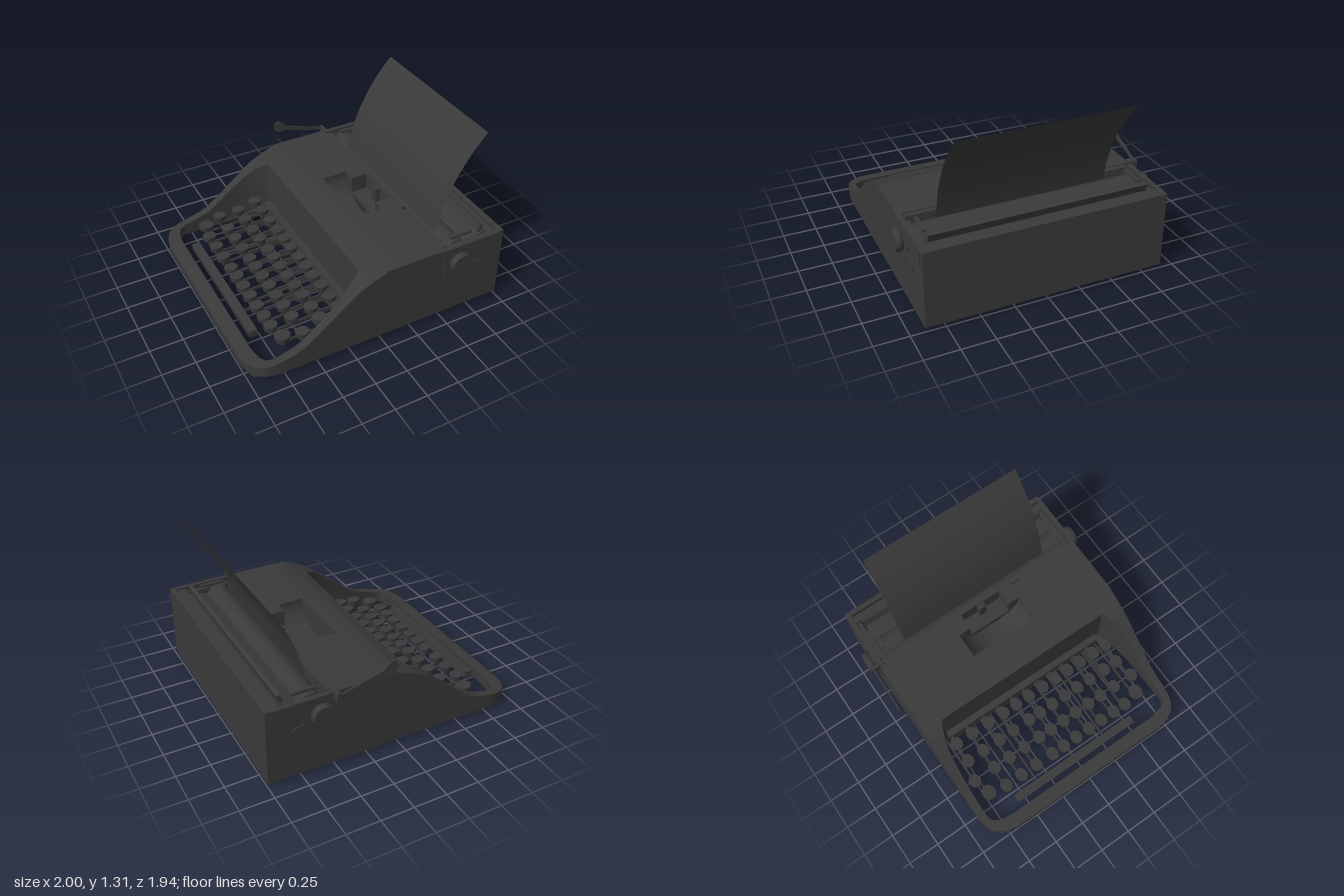
import * as THREE from 'three';
import { toCreasedNormals } from 'three/addons/utils/BufferGeometryUtils.js';

const mat = new THREE.MeshStandardMaterial({ color: 0x3a3a3a });
const thin = new THREE.MeshStandardMaterial({ color: 0x3a3a3a, side: THREE.DoubleSide });

// piecewise-linear lookup in a list of [x, value]
function lerpTable(table, x) {
  for (let i = 1; i < table.length; i++) {
    const [x0, v0] = table[i - 1], [x1, v1] = table[i];
    if (x <= x1) return v0 + (v1 - v0) * (x - x0) / (x1 - x0);
  }
  return table[table.length - 1][1];
}
const TOP = [[-1, 0.095], [-0.97, 0.103], [-0.88, 0.113], [-0.75, 0.14], [-0.66, 0.165], [-0.59, 0.195],
  [-0.5, 0.262], [-0.38, 0.358], [-0.28, 0.44], [-0.2, 0.5], [-0.13, 0.54], [-0.05, 0.573], [0.04, 0.61], [1, 0.612]];
const WIDTH = [[-1, 0.68], [-0.985, 0.76], [-0.95, 0.825], [-0.9, 0.868], [-0.84, 0.888], [-0.78, 0.895], [1, 0.895]];
const BASE = 0.03;

// housing: [x, half-width of the opening]; a repeated x makes a cross wall
const OPENING = [[-1, 0], [-0.985, 0], [-0.95, 0], [-0.9, 0], [-0.9, 0.66], [-0.885, 0.765], [-0.86, 0.81], [-0.82, 0.83],
  [-0.75, 0.834], [-0.66, 0.832], [-0.59, 0.83], [-0.5, 0.828], [-0.38, 0.822], [-0.28, 0.81], [-0.2, 0.785],
  [-0.13, 0.755], [-0.1, 0.73], [-0.1, 0], [-0.05, 0], [0.04, 0], [0.16, 0], [0.16, 0.275], [0.36, 0.275], [0.36, 0.175],
  [0.49, 0.175], [0.49, 0], [0.5, 0], [0.5, 0.865], [0.96, 0.865], [0.96, 0], [1, 0]];

function housingGeometry() {
  const pos = [];
  for (const s of [1, -1]) {
    const rings = OPENING.map(([x, v]) => {
      const w = lerpTable(WIDTH, x), t = lerpTable(TOP, x);
      return [[v, BASE], [v, t], [w, t], [w, BASE]].map(([z, y]) => [x, y, s * z]);
    });
    const flat = (r) => r.map(([x, , z]) => [x, BASE, z]);
    rings.unshift(flat(rings[0]));
    rings.push(flat(rings[rings.length - 1]));
    for (let i = 0; i < rings.length - 1; i++) {
      for (let j = 0; j < 4; j++) {
        const k = (j + 1) % 4;
        const q = [rings[i][j], rings[i][k], rings[i + 1][k], rings[i + 1][j]];
        if (s < 0) q.reverse();
        pos.push(...q[0], ...q[1], ...q[2], ...q[0], ...q[2], ...q[3]);
      }
    }
  }
  const g = new THREE.BufferGeometry();
  g.setAttribute('position', new THREE.Float32BufferAttribute(pos, 3));
  return toCreasedNormals(g, 0.4);
}

export function createModel() {
  const root = new THREE.Group();
  const add = (name, geo, x = 0, y = 0, z = 0, material = mat) => {
    const m = new THREE.Mesh(geo, material);
    m.name = name;
    m.position.set(x, y, z);
    root.add(m);
    return m;
  };
  // box given by its limits
  const box = (name, x0, x1, y0, y1, z0, z1) =>
    add(name, new THREE.BoxGeometry(x1 - x0, y1 - y0, z1 - z0), (x0 + x1) / 2, (y0 + y1) / 2, (z0 + z1) / 2);
  // cylinder along z
  const rod = (name, x, y, z0, z1, r0, r1 = r0) => {
    const m = add(name, new THREE.CylinderGeometry(r1, r0, Math.abs(z1 - z0), 32), x, y, (z0 + z1) / 2);
    m.rotation.x = z1 > z0 ? Math.PI / 2 : -Math.PI / 2;
    return m;
  };
  // thin bar in the xy plane
  const bar = (name, x0, y0, x1, y1, h, w, z) => {
    const m = add(name, new THREE.BoxGeometry(Math.hypot(x1 - x0, y1 - y0), h, w), (x0 + x1) / 2, (y0 + y1) / 2, z);
    m.rotation.z = Math.atan2(y1 - y0, x1 - x0);
    return m;
  };

  add('housing', housingGeometry());
  box('bottomPlate', -0.1, 0.98, 0.029, 0.05, -0.88, 0.88);
  box('coverSeam', 0.037, 0.043, 0.6, 0.613, -0.896, 0.896);
  for (const x of [-0.92, 0.91]) for (const z of [-0.78, 0.78])
    add('foot', new THREE.CylinderGeometry(0.052, 0.045, 0.032, 24), x, 0.016, z);

  // keyboard: four gently stepped rows of round keys on levers
  const rows = [
    { x: -0.7, y: 0.155, z: [-0.72, -0.58, -0.44, -0.3, -0.15, -0.04, 0.08, 0.2, 0.32, 0.44, 0.55, 0.68] },
    { x: -0.54, y: 0.178, z: [-0.76, -0.58, -0.44, -0.3, -0.16, -0.05, 0.07, 0.19, 0.31, 0.43, 0.56, 0.73] },
    { x: -0.39, y: 0.215, z: [-0.72, -0.58, -0.43, -0.3, -0.15, -0.05, 0.07, 0.19, 0.31, 0.43, 0.57, 0.69] },
    { x: -0.24, y: 0.255, z: [-0.72, -0.58, -0.43, -0.29, -0.17, -0.05, 0.08, 0.2, 0.32, 0.44, 0.57, 0.69] },
  ];
  const cap = new THREE.CylinderGeometry(0.053, 0.048, 0.042, 24).scale(1, 1, 0.87);
  const stem = new THREE.CylinderGeometry(0.016, 0.016, 0.05, 10);
  rows.forEach((row, r) => row.z.forEach((z, i) => {
    const big = r === 0 && (i === 0 || i === 11);
    const x = row.x + (big ? 0.03 : 0);
    const key = add('key', cap, x, row.y - 0.021, z);
    if (big) key.scale.set(1.12, 1, 1.15);
    add('keyStem', stem, x, row.y - 0.062, z);
    bar('keyLever', x, row.y - 0.08, -0.09, 0.09 + r * 0.025, 0.018, 0.012, z + (r - 1.5) * 0.004);
  }));
  box('leverComb', -0.15, -0.095, 0.06, 0.19, -0.73, 0.68);
  const space = box('spaceBar', -0.855, -0.79, 0.075, 0.13, -0.57, 0.53);
  space.rotation.z = 0.12;
  for (const z of [-0.36, 0.27]) bar('spaceBarArm', -0.82, 0.085, -0.09, 0.1, 0.02, 0.012, z);

  // type basket: half-round trough and type guide
  const trough = new THREE.CylinderGeometry(0.275, 0.275, 0.2, 32, 1, true, -Math.PI / 2, Math.PI).rotateX(Math.PI / 2);
  trough.rotateY(Math.PI / 2);
  add('typeBasket', trough, 0.26, 0.6, 0, thin).scale.y = 0.7;
  box('typeGuideFloor', 0.36, 0.49, 0.45, 0.48, -0.174, 0.174);
  box('typeGuide', 0.45, 0.49, 0.48, 0.6, -0.03, 0.03);
  box('ribbonTab', 0.48, 0.52, 0.6, 0.63, 0.285, 0.35);

  // carriage
  box('carriageFloor', 0.49, 0.97, 0.33, 0.36, -0.87, 0.87);
  rod('platen', 0.64, 0.49, -0.82, 0.82, 0.1);
  box('frontRail', 0.5, 0.54, 0.5, 0.605, -0.85, 0.85);
  const tray = box('paperTray', 0.7, 0.9, 0.545, 0.56, -0.81, 0.81);
  tray.rotation.z = 0.25;
  box('rearRail', 0.89, 0.95, 0.36, 0.598, -0.86, 0.86);
  const rest = box('paperRest', 0.84, 0.87, 0.59, 0.65, -0.81, 0.81);
  rest.rotation.z = -0.3;
  for (const s of [-1, 1]) {
    box('carriageArm', 0.6, 0.78, 0.612, 0.63, s * 0.8 - 0.012, s * 0.8 + 0.012);
    box('carriageBlock', 0.55, 0.9, 0.36, 0.58, s * 0.84 - 0.015, s * 0.84 + 0.015);
    box('sideNotch', 0.14, 0.195, 0.503, 0.508, s * 0.893 - 0.004, s * 0.893 + 0.004);
    rod('knobShaft', 0.61, 0.49, s * 0.8, s * 0.93, 0.035);
    rod('knobCollar', 0.61, 0.49, s * 0.913, s * 0.932, 0.076, 0.086);
    rod('knob', 0.61, 0.49, s * 0.932, s * 0.965, 0.086, 0.076);
  }

  // end plates with a hooked outline
  const plate = new THREE.Shape();
  plate.moveTo(0.5, 0.61);
  plate.lineTo(0.5, 0.37);
  plate.quadraticCurveTo(0.5, 0.34, 0.53, 0.34);
  plate.lineTo(0.77, 0.34);
  plate.quadraticCurveTo(0.82, 0.35, 0.815, 0.39);
  plate.quadraticCurveTo(0.81, 0.425, 0.76, 0.425);
  plate.quadraticCurveTo(0.73, 0.425, 0.73, 0.46);
  plate.quadraticCurveTo(0.73, 0.5, 0.76, 0.5);
  plate.lineTo(0.9, 0.5);
  plate.quadraticCurveTo(0.96, 0.5, 0.96, 0.56);
  plate.lineTo(0.96, 0.61);
  const plateGeo = new THREE.ExtrudeGeometry(plate, { depth: 0.015, bevelEnabled: false });
  add('endPlate', plateGeo, 0, 0, 0.887);
  add('endPlate', plateGeo, 0, 0, -0.902);

  // return lever with a paddle end
  const lever = new THREE.Shape();
  lever.moveTo(0.52, 0.6);
  lever.lineTo(0.51, 0.63);
  lever.lineTo(0.47, 0.622);
  lever.lineTo(0.2, 0.705);
  lever.quadraticCurveTo(0.16, 0.725, 0.145, 0.75);
  lever.quadraticCurveTo(0.11, 0.785, 0.08, 0.75);
  lever.quadraticCurveTo(0.06, 0.71, 0.085, 0.68);
  lever.quadraticCurveTo(0.12, 0.67, 0.17, 0.675);
  lever.lineTo(0.47, 0.6);
  const leverGeo = new THREE.ExtrudeGeometry(lever, { depth: 0.012, bevelEnabled: false });
  const p = leverGeo.attributes.position;
  for (let i = 0; i < p.count; i++) p.setZ(i, p.getZ(i) - 0.015 * Math.max(0, (0.4 - p.getX(i)) / 0.3));
  leverGeo.computeVertexNormals();
  add('returnLever', leverGeo, 0, 0, -0.955);
  box('leverBracket', 0.49, 0.515, 0.56, 0.625, -0.955, -0.85);

  // sheet of paper leaning back out of the platen
  const curve = new THREE.CatmullRomCurve3([[0.57, 0.52], [0.59, 0.62], [0.645, 0.82], [0.725, 1.0], [0.825, 1.16], [0.95, 1.31]]
    .map(([x, y]) => new THREE.Vector3(x, y, 0)));
  const sheet = new THREE.PlaneGeometry(1.28, 1, 1, 24);
  const sp = sheet.attributes.position;
  for (let i = 0; i < sp.count; i++) {
    const c = curve.getPoint(sp.getY(i) + 0.5);
    sp.setXYZ(i, c.x, c.y, sp.getX(i));
  }
  sheet.computeVertexNormals();
  add('paper', sheet, 0, 0, 0.01, thin);
  return root;
}
